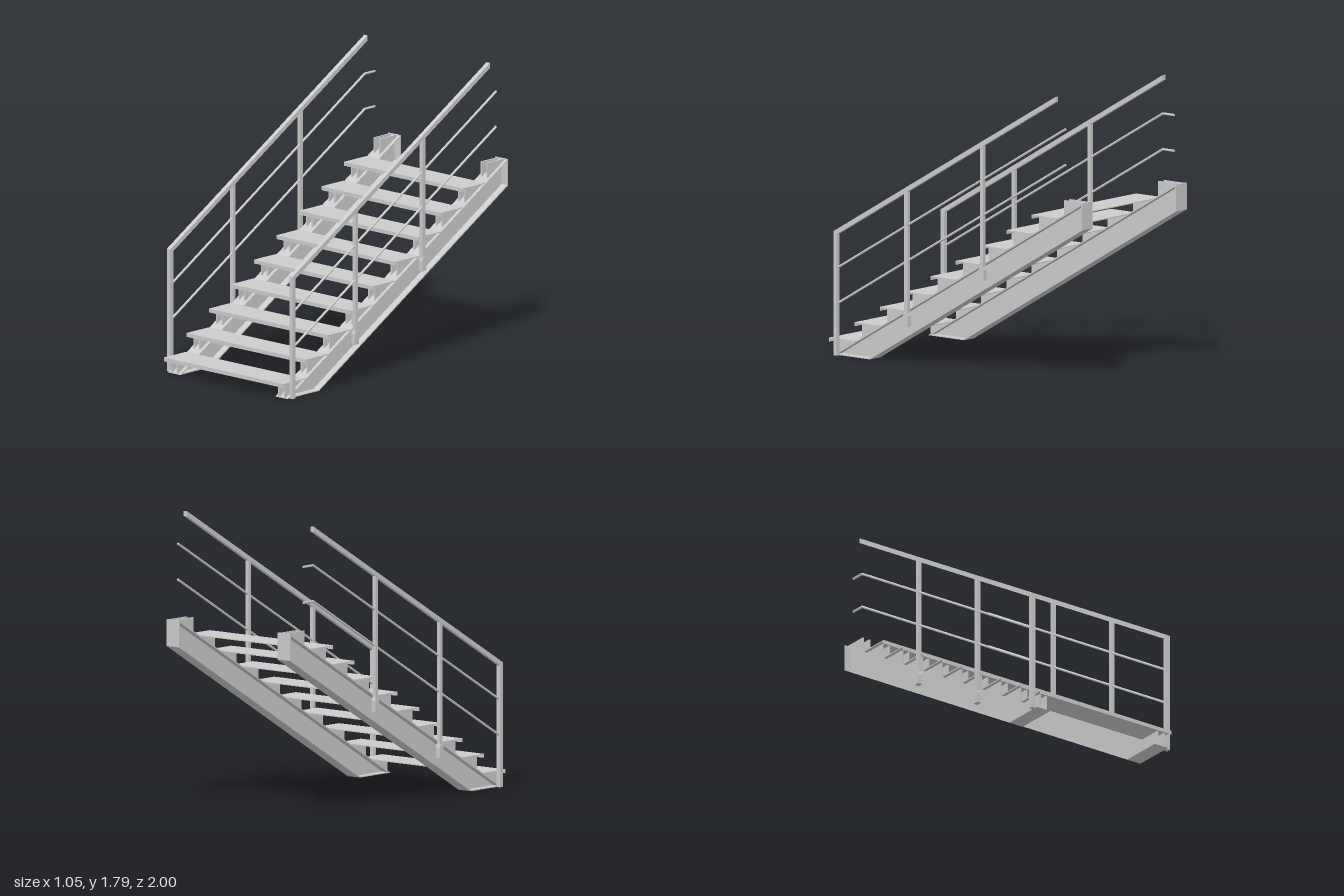
import * as THREE from 'three';

const STEPS = 9, RUN = 0.2, RISE = 0.1167, SLOPE = 0.5833;
const material = new THREE.MeshStandardMaterial({ color: 0xcccccc });

// height of the stringer's top edge at a given z
const topLine = z => SLOPE * (0.963 - z);

function add(parent, name, geometry) {
  const mesh = new THREE.Mesh(geometry, material);
  mesh.name = name;
  parent.add(mesh);
  return mesh;
}

// side profile of [z, y] points, extruded from x0 to x1
function prism(parent, name, points, x0, x1) {
  const shape = new THREE.Shape(points.map(p => new THREE.Vector2(p[0], p[1])));
  const geometry = new THREE.ExtrudeGeometry(shape, { depth: x1 - x0, bevelEnabled: false });
  geometry.rotateY(-Math.PI / 2).translate(x1, 0, 0);
  return add(parent, name, geometry);
}

function box(parent, name, x0, x1, y0, y1, z0, z1) {
  const geometry = new THREE.BoxGeometry(x1 - x0, y1 - y0, z1 - z0);
  geometry.translate((x0 + x1) / 2, (y0 + y1) / 2, (z0 + z1) / 2);
  return add(parent, name, geometry);
}

// round bar through [z, y] points at a fixed x
function rod(parent, name, x, points, radius) {
  const path = new THREE.CurvePath();
  for (let i = 1; i < points.length; i++) {
    const [a, b] = [points[i - 1], points[i]];
    path.add(new THREE.LineCurve3(new THREE.Vector3(x, a[1], a[0]), new THREE.Vector3(x, b[1], b[0])));
  }
  for (const line of path.curves) {
    const dir = line.v2.clone().sub(line.v1);
    const bar = add(parent, name, new THREE.CylinderGeometry(radius, radius, dir.length(), 10));
    bar.position.copy(line.v1).addScaledVector(dir, 0.5);
    bar.quaternion.setFromUnitVectors(new THREE.Vector3(0, 1, 0), dir.normalize());
  }
}

// sloped I-beam, cut level at the floor and plumb at the top
function stringer(side) {
  const group = new THREE.Group();
  group.name = side > 0 ? 'leftStringer' : 'rightStringer';
  const cx = side * 0.445, half = 0.05, depth = 0.165, t = 0.009;
  const band = (name, d0, d1, w) => prism(group, name, [
    [0.963 - d0 / SLOPE, 0], [0.963 - d1 / SLOPE, 0],
    [-1, topLine(-1) - d1], [-1, topLine(-1) - d0],
  ], cx - w, cx + w);
  band('topFlange', 0, t, half);
  band('web', t, depth - t, 0.005);
  band('bottomFlange', depth - t, depth, half);
  box(group, 'endPlate', cx - half, cx + half, topLine(-1) - depth, topLine(-1), -1, -0.992);
  box(group, 'footPlate', cx - half, cx + half, 0, 0.006, 0.69, 0.955);

  // pairs of triangular fins under every tread, plus one at the landing
  for (let i = 0; i <= STEPS; i++) {
    const z = 0.96 - RUN * i;
    const y = Math.min(0.1 + RISE * i - 0.004, 1.147);
    const back = Math.max(0.963 - y / SLOPE, -1);
    for (const dx of [-0.024, 0.024]) {
      prism(group, 'treadFin', [[z, y], [z, topLine(z)], [back, topLine(back)], [back, y]],
        cx + dx - 0.005, cx + dx + 0.005);
    }
  }
  return group;
}

function railing(side) {
  const group = new THREE.Group();
  group.name = side > 0 ? 'leftRailing' : 'rightRailing';
  const cx = side * 0.508, w = 0.014;
  const railTop = z => 0.765 + 0.5815 * (0.945 - z);

  // handrail
  prism(group, 'handrail', [
    [0.945, railTop(0.945)], [0.945, railTop(0.945) - 0.032],
    [-0.81, railTop(-0.81) - 0.032], [-0.81, railTop(-0.81)],
  ], cx - w, cx + w);

  // posts, the upper two ending in a flattened foot bolted to the stringer
  box(group, 'frontPost', cx - w, cx + w, 0, 0.745, 0.918, 0.945);
  for (const [z, y] of [[0.374, 0.24], [-0.225, 0.59]]) {
    box(group, 'post', cx - 0.012, cx + 0.012, y + 0.06, railTop(z) - 0.02, z - 0.012, z + 0.012);
    prism(group, 'postFoot', [
      [z - 0.018, y], [z + 0.018, y], [z + 0.018, y + 0.065],
      [z + 0.012, y + 0.085], [z - 0.012, y + 0.085], [z - 0.018, y + 0.065],
    ], Math.min(side * 0.494, side * 0.525), Math.max(side * 0.494, side * 0.525));
  }

  // intermediate rails: straight on the left, levelled off on the right
  for (const y of [0.32, 0.54]) {
    const at = z => [z, y + SLOPE * (0.925 - z)];
    const bend = at(-0.8);
    rod(group, 'midRail', cx, side > 0 ? [at(0.925), at(-0.88)]
      : [at(0.925), bend, [-0.89, bend[1]]], 0.0075);
  }
  return group;
}

export function createModel() {
  const model = new THREE.Group();
  model.name = 'staircase';

  // treads: thin plates with a folded front lip
  const treads = new THREE.Group();
  treads.name = 'treads';
  for (let i = 0; i < STEPS; i++) {
    const z = 1 - RUN * i, y = 0.1 + RISE * i;
    prism(treads, 'tread', [
      [z, y], [z - 0.197, y], [z - 0.197, y - 0.006],
      [z - 0.006, y - 0.006], [z - 0.006, y - 0.024], [z, y - 0.024],
    ], -0.495, 0.495);
  }
  model.add(treads);

  for (const side of [-1, 1]) model.add(stringer(side), railing(side));
  return model;
}
